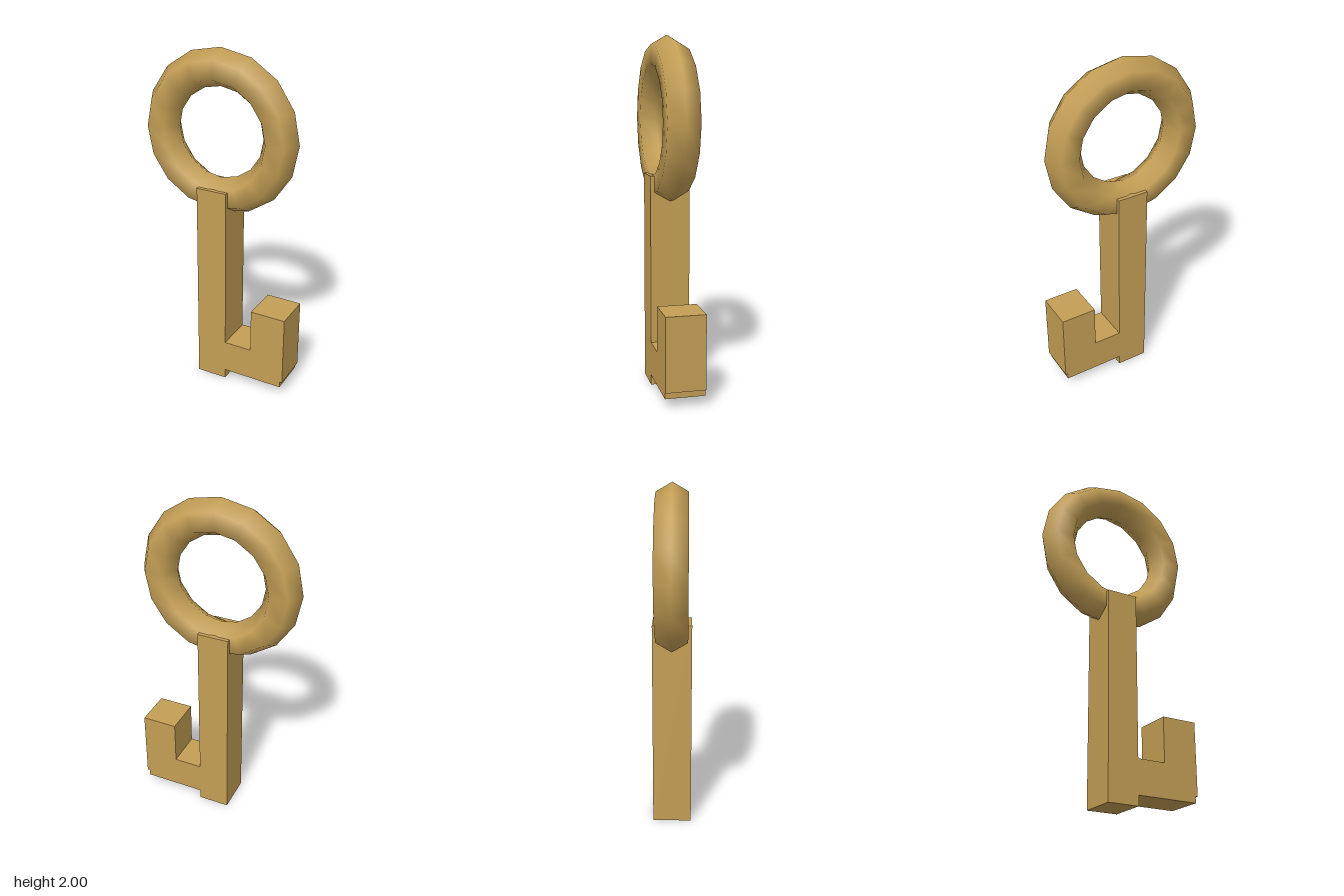
import * as THREE from 'three';

export function createModel() {
  const model = new THREE.Group();
  model.name = 'key';
  const brass = new THREE.MeshStandardMaterial({ color: 0xc49f55 });
  brass.name = 'brass';

  // Ring handle: six-sided tube, smooth shaded
  const ring = new THREE.Mesh(new THREE.TorusGeometry(0.366, 0.105, 6, 16), brass);
  ring.name = 'ringHandle';
  ring.position.y = 1.53;
  model.add(ring);

  // Shaft and bit share one outline: shaft, crossbar, upright tooth with a small step
  const outline = [
    [-0.092, 0], [0.092, 0], [0.092, 0.058], [0.457, 0.058], [0.457, 0.095],
    [0.471, 0.095], [0.471, 0.518], [0.26, 0.518], [0.26, 0.255],
    [0.092, 0.255], [0.092, 1.222], [-0.092, 1.222],
  ].map(([x, y]) => new THREE.Vector2(x, y));
  const depth = 0.226;
  const blade = new THREE.ExtrudeGeometry(new THREE.Shape(outline), { depth, bevelEnabled: false });
  blade.translate(0, 0, -depth / 2);
  const shaft = new THREE.Mesh(blade, brass);
  shaft.name = 'shaftAndBit';
  model.add(shaft);

  return model;
}
